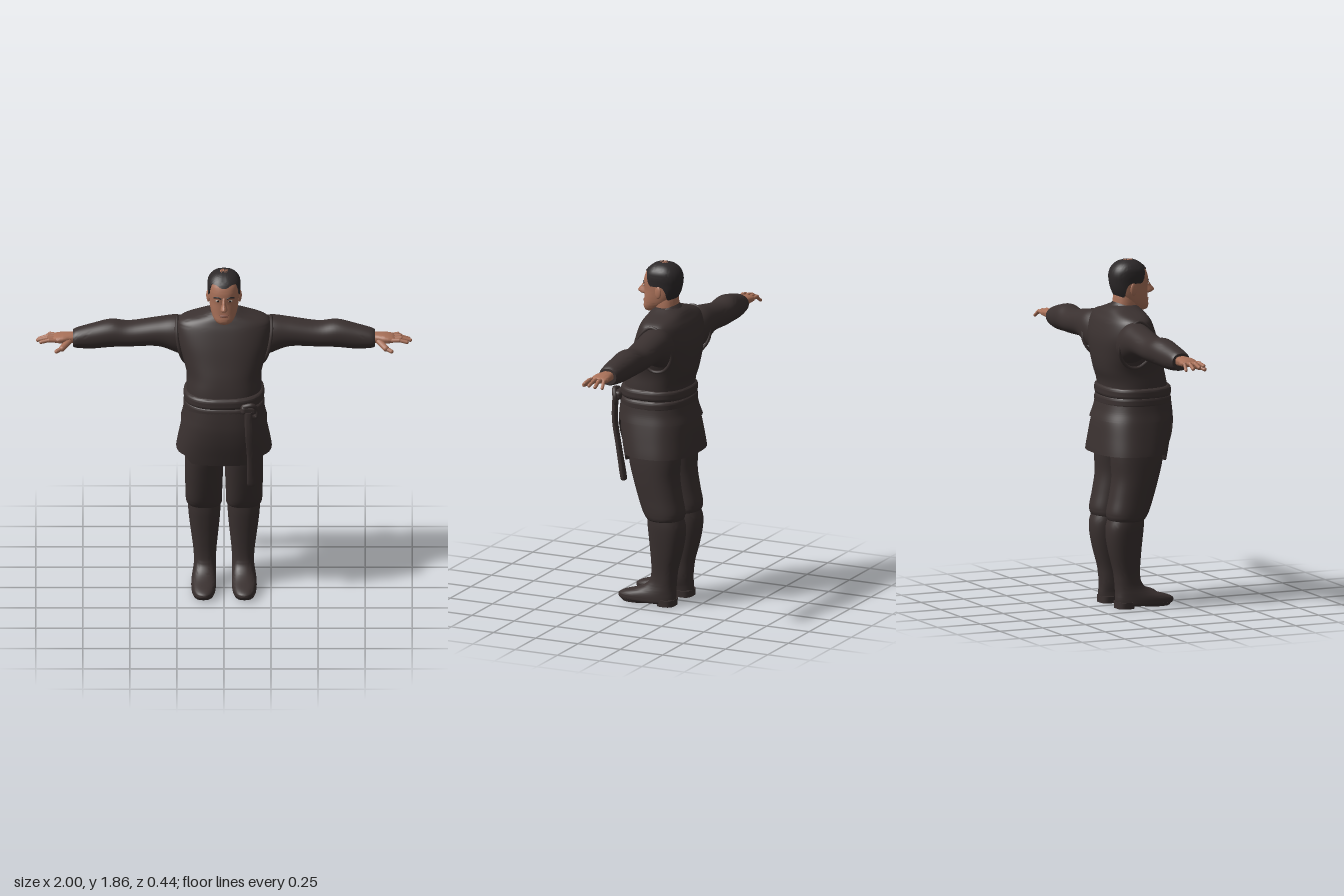
import * as THREE from 'three';
import { toCreasedNormals } from 'three/addons/utils/BufferGeometryUtils.js';
import { RoundedBoxGeometry } from 'three/addons/geometries/RoundedBoxGeometry.js';

const mat = (name, color) => Object.assign(new THREE.MeshStandardMaterial({ color }), { name });
const cloth = mat('darkCloth', 0x3a3130);
const skin = mat('skin', 0xa97159);
const hair = mat('hair', 0x2c2829);
const lip = mat('lips', 0x8c5848);
const eyeWhite = mat('eyeWhite', 0xb5a79c);
const iris = mat('iris', 0x2a1f1a);

const mesh = (name, geometry, material) => {
  const m = new THREE.Mesh(geometry, material);
  m.name = name;
  return m;
};

// Smooth interpolation through table rows, t in 0..1
const spline = (rows, t) => {
  const last = rows.length - 1;
  const i = Math.min(Math.floor(t * last), last - 1), f = t * last - i;
  const p = [i - 1, i, i + 1, i + 2].map((k) => rows[Math.max(0, Math.min(last, k))]);
  return p[0].map((_, k) => {
    const [a, b, c, d] = p.map((r) => r[k]);
    return b + 0.5 * f * (c - a + f * (2 * a - 5 * b + 4 * c - d + f * (3 * (b - c) + d - a)));
  });
};

// Cross-section at a given height
const sectionAt = (rows, h) => {
  let lo = 0, hi = 1;
  for (let i = 0; i < 24; i++) {
    const mid = (lo + hi) / 2;
    if (spline(rows, mid)[0] < h) lo = mid; else hi = mid;
  }
  return spline(rows, lo);
};

// Closed surface: fn(angle, j) gives a point, j runs along the part
const grid = (nu, nv, fn) => {
  const pos = [], idx = [];
  for (let j = 0; j <= nv; j++) for (let i = 0; i < nu; i++) pos.push(...fn((i / nu) * Math.PI * 2, j));
  for (let j = 0; j < nv; j++) for (let i = 0; i < nu; i++) {
    const k = (i + 1) % nu, a = j * nu + i, b = j * nu + k, c = b + nu, d = a + nu;
    idx.push(a, b, c, a, c, d);
  }
  const g = new THREE.BufferGeometry();
  g.setAttribute('position', new THREE.Float32BufferAttribute(pos, 3));
  g.setIndex(idx);
  return toCreasedNormals(g, 0.9);
};

// Rounded ring point of a section [h, a0, a1, b0, b1]; scale 0 gives its centre
const ringPoint = ([h, a0, a1, b0, b1], th, n, axis, scale = 1, grow = 0) => {
  const pw = (v) => Math.sign(v) * Math.abs(v) ** (2 / n) * scale;
  const a = (a0 + a1) / 2 + pw(Math.cos(th)) * ((a1 - a0) / 2 + grow);
  const b = (b0 + b1) / 2 + pw(Math.sin(th)) * ((b1 - b0) / 2 + grow);
  return axis === 'x' ? [h, a, b] : [b, h, a];
};

// Capped loft. axis y rows: [y, zBack, zFront, x0, x1]; axis x rows: [x, y0, y1, z0, z1]
const loft = (rows, { axis = 'y', n = 2.3, nu = 40, sub = 5 } = {}) => {
  const nv = (rows.length - 1) * sub;
  return grid(nu, nv + 2, (th, j) => {
    const t = Math.max(0, Math.min(1, (j - 1) / nv));
    return ringPoint(spline(rows, t), th, n, axis, j === 0 || j === nv + 2 ? 0 : 1);
  });
};

// Layer over a form, from a shaped lower edge up to a top height
const layer = (rows, edge, top, grow, n, nu = 96, nv = 22) => grid(nu, nv + 2, (th, j) => {
  const low = edge(th), t = Math.max(0, Math.min(1, (j - 1) / nv));
  const p = ringPoint(sectionAt(rows, low + (top - low) * t), th, n, 'y', j === 0 || j === nv + 2 ? 0 : 1, grow);
  if (j === 0) p[1] += 0.03;
  return p;
});

const capsule = (name, a, b, r, material) => {
  const A = new THREE.Vector3(...a), B = new THREE.Vector3(...b), d = B.clone().sub(A);
  const m = mesh(name, new THREE.CapsuleGeometry(r, d.length(), 6, 12), material);
  m.position.copy(A).add(B).multiplyScalar(0.5);
  m.quaternion.setFromUnitVectors(new THREE.Vector3(0, 1, 0), d.normalize());
  return m;
};
const ball = (name, p, s, material) => {
  const m = mesh(name, new THREE.SphereGeometry(1, 20, 14), material);
  m.position.set(...p);
  m.scale.set(...s);
  return m;
};
const tube = (name, pts, r, material, closed = false) => mesh(name, new THREE.TubeGeometry(
  new THREE.CatmullRomCurve3(pts.map((p) => new THREE.Vector3(...p)), closed), 40, r, 8, closed), material);

const sym = (rows) => rows.map(([y, zb, zf, x]) => [y, zb, zf, -x, x]);
const ramp = THREE.MathUtils.smoothstep;

const HEAD = sym([
  [1.583, 0.03, 0.072, 0.018], [1.592, 0.0, 0.086, 0.04], [1.612, -0.03, 0.092, 0.056],
  [1.64, -0.07, 0.088, 0.069], [1.675, -0.095, 0.086, 0.076], [1.71, -0.11, 0.085, 0.079],
  [1.745, -0.118, 0.089, 0.081], [1.78, -0.12, 0.083, 0.083], [1.815, -0.108, 0.066, 0.078],
  [1.844, -0.08, 0.035, 0.055], [1.858, -0.045, 0.005, 0.022]]);

function buildHead() {
  const g = new THREE.Group();
  g.name = 'head';
  const faceZ = (x, y) => {
    const [, zb, zf, , rx] = sectionAt(HEAD, y);
    return (zb + zf) / 2 + ((zf - zb) / 2) * (1 - Math.abs(x / rx) ** 2.3) ** (1 / 2.3);
  };
  g.add(mesh('face', loft(HEAD), skin));
  g.add(mesh('neck', loft(sym([[1.54, -0.11, 0.03, 0.072], [1.6, -0.103, 0.025, 0.068],
    [1.65, -0.1, 0.03, 0.066], [1.69, -0.095, 0.03, 0.06]])), skin));
  // Short hair: low at the nape, receding at the temples
  const hairline = (th) => {
    const a = Math.abs(th > Math.PI ? 2 * Math.PI - th : th);
    return 1.797 + 0.016 * ramp(a, 0, 0.5) - 0.075 * ramp(a, 0.75, 1.3) - 0.075 * ramp(a, 1.75, 2.4);
  };
  g.add(mesh('hair', layer(HEAD, hairline, 1.858, 0.005, 2.3, 64, 16), hair));
  g.add(mesh('nose', loft(sym([[1.67, 0.06, 0.094, 0.01], [1.677, 0.06, 0.118, 0.018],
    [1.69, 0.06, 0.132, 0.017], [1.712, 0.06, 0.115, 0.011], [1.748, 0.06, 0.09, 0.009]]),
  { n: 2, nu: 20 }), skin));
  g.add(ball('upperLip', [0, 1.645, faceZ(0, 1.645)], [0.026, 0.005, 0.006], lip));
  g.add(ball('lowerLip', [0, 1.637, faceZ(0, 1.637)], [0.021, 0.005, 0.006], lip));
  for (const s of [-1, 1]) {
    const z = faceZ(0.032, 1.727);
    g.add(ball('eye', [s * 0.032, 1.727, z - 0.001], [0.013, 0.006, 0.005], eyeWhite));
    g.add(ball('iris', [s * 0.032, 1.727, z + 0.002], [0.006, 0.006, 0.004], iris));
    g.add(tube('eyebrow', [[0.014, 1.741], [0.034, 1.748], [0.054, 1.741]]
      .map(([x, y]) => [s * x, y, faceZ(x, y)]), 0.004, hair));
    const ear = ball('ear', [s * 0.084, 1.708, -0.025], [0.009, 0.034, 0.021], skin);
    ear.rotation.y = s * -0.3;
    g.add(ear);
  }
  return g;
}

// Tunic, belt and skirt layers
function buildTunic() {
  const g = new THREE.Group();
  g.name = 'tunic';
  g.add(mesh('torso', loft(sym([
    [1.08, -0.17, 0.185, 0.203], [1.2, -0.17, 0.172, 0.2], [1.28, -0.193, 0.155, 0.2],
    [1.36, -0.204, 0.13, 0.222], [1.45, -0.205, 0.1, 0.247], [1.53, -0.185, 0.068, 0.252],
    [1.57, -0.163, 0.048, 0.225], [1.602, -0.14, 0.03, 0.125], [1.62, -0.11, 0.01, 0.08]]),
  { n: 2.5, nu: 56 }), cloth));
  const collar = mesh('collar', loft(sym([[-0.03, -0.09, 0.092, 0.112], [-0.018, -0.092, 0.094, 0.114],
    [0.006, -0.084, 0.086, 0.1], [0.028, -0.077, 0.078, 0.084]]), { n: 2 }), cloth);
  collar.position.set(0, 1.583, -0.04);
  collar.rotation.x = 0.35;
  g.add(collar);

  const SKIRT = sym([[0.77, -0.225, 0.15, 0.258], [0.83, -0.224, 0.165, 0.254], [0.92, -0.213, 0.185, 0.238],
    [1.0, -0.2, 0.194, 0.222], [1.06, -0.18, 0.192, 0.208], [1.12, -0.165, 0.185, 0.2]]);
  const frontX = (th) => 0.23 * Math.sign(Math.sin(th)) * Math.abs(Math.sin(th)) ** 0.77;
  const lowerHem = (th) => (Math.cos(th) > 0 ? 0.79 + 0.04 * ramp(Math.abs(frontX(th)), 0.155, 0.19) : 0.83);
  const upperHem = (th) => (Math.cos(th) > 0 ? 0.86 + 0.15 * ramp(Math.abs(frontX(th)), 0.07, 0.155) : 1.01);
  g.add(mesh('lowerSkirt', layer(SKIRT, lowerHem, 1.12, 0, 2.5), cloth));
  g.add(mesh('upperSkirtWithApron', layer(SKIRT, upperHem, 1.12, 0.01, 2.5), cloth));

  for (const [y, tilt] of [[1.162, 0.015], [1.11, -0.015]]) {
    const rows = [[-0.03, 0], [-0.022, 0.012], [0, 0.016], [0.022, 0.012], [0.03, 0]]
      .map(([h, o]) => [h, -0.166 - o, 0.18 + o, 0.199 + o]);
    const band = mesh('beltWrap', loft(sym(rows), { n: 2.5, nu: 56 }), cloth);
    band.position.y = y;
    band.rotation.z = tilt;
    g.add(band);
  }
  const knot = mesh('beltKnot', new RoundedBoxGeometry(0.085, 0.05, 0.05, 4, 0.018), cloth);
  knot.position.set(0.13, 1.138, 0.185);
  knot.rotation.set(0, 0.2, -0.1);
  g.add(knot, tube('beltLoop', [[0.1, 1.16, 0.2], [0.15, 1.168, 0.2], [0.175, 1.13, 0.185],
    [0.165, 1.095, 0.185], [0.13, 1.105, 0.205]], 0.013, cloth));
  g.add(mesh('hangingBeltEnd', loft([
    [0.672, 0.137, 0.155, 0.135, 0.16], [0.69, 0.135, 0.163, 0.122, 0.167], [0.85, 0.165, 0.19, 0.122, 0.162],
    [1.0, 0.193, 0.217, 0.112, 0.156], [1.13, 0.188, 0.216, 0.108, 0.15]], { n: 3, nu: 20 }), cloth));
  return g;
}

// One arm and one leg on the left side
function buildSide(name) {
  const g = new THREE.Group();
  g.name = name;
  g.add(mesh('sleeve', loft([
    [0.17, 1.32, 1.54, -0.17, 0.0], [0.25, 1.352, 1.558, -0.182, 0.0], [0.35, 1.388, 1.543, -0.178, -0.013],
    [0.5, 1.385, 1.52, -0.175, -0.02], [0.6, 1.382, 1.531, -0.17, -0.02], [0.7, 1.376, 1.511, -0.152, -0.02],
    [0.78, 1.382, 1.49, -0.137, -0.022], [0.803, 1.39, 1.478, -0.13, -0.028]], { axis: 'x', n: 2.1 }), cloth));
  g.add(tube('armholeEdge', [[0.25, 1.562, -0.07], [0.252, 1.5, 0.005], [0.232, 1.39, 0.02],
    [0.207, 1.31, -0.05], [0.21, 1.32, -0.12], [0.23, 1.4, -0.175], [0.25, 1.5, -0.15]], 0.009, cloth, true));

  g.add(mesh('palm', loft([
    [0.78, 1.408, 1.464, -0.112, -0.046], [0.82, 1.414, 1.464, -0.115, -0.038], [0.86, 1.416, 1.462, -0.12, -0.025],
    [0.895, 1.42, 1.455, -0.12, -0.026], [0.908, 1.426, 1.448, -0.112, -0.034]],
  { axis: 'x', n: 2.6, nu: 24 }), skin));
  [[-0.109, 0.958, -0.122, 1.415], [-0.085, 0.982, -0.092, 1.424],
    [-0.061, 0.99, -0.06, 1.43], [-0.037, 0.972, -0.026, 1.434]].forEach(([z, x, tipZ, tipY], i) => {
    const mid = [(0.89 + x) / 2, 1.442, (z + tipZ) / 2], r = i ? 0.0115 : 0.01;
    g.add(capsule('fingerBase', [0.885, 1.438, z], mid, r, skin));
    g.add(capsule('fingerTip', mid, [x, tipY, tipZ], r * 0.86, skin));
  });
  g.add(capsule('thumbBase', [0.825, 1.428, -0.045], [0.86, 1.41, 0.0], 0.017, skin));
  g.add(capsule('thumbTip', [0.86, 1.41, 0.0], [0.89, 1.4, 0.018], 0.011, skin));

  g.add(mesh('trouserLeg', loft([
    [0.47, -0.165, 0.008, 0.018, 0.186], [0.482, -0.18, 0.02, 0.01, 0.2], [0.52, -0.186, 0.042, 0.01, 0.205],
    [0.6, -0.17, 0.07, 0.008, 0.206], [0.7, -0.155, 0.1, 0.004, 0.208], [0.8, -0.16, 0.125, 0.0, 0.207],
    [0.9, -0.16, 0.13, -0.005, 0.2]]), cloth));
  g.add(mesh('boot', loft([
    [0.012, -0.13, 0.172, 0.05, 0.165], [0.02, -0.138, 0.186, 0.044, 0.173], [0.04, -0.14, 0.19, 0.042, 0.174],
    [0.058, -0.14, 0.16, 0.042, 0.172], [0.08, -0.138, 0.085, 0.042, 0.167], [0.105, -0.138, 0.035, 0.042, 0.162],
    [0.14, -0.14, 0.004, 0.042, 0.16], [0.2, -0.148, -0.004, 0.04, 0.163], [0.3, -0.174, 0.001, 0.03, 0.176],
    [0.38, -0.188, 0.008, 0.022, 0.186], [0.44, -0.188, 0.013, 0.019, 0.191], [0.49, -0.172, 0.014, 0.02, 0.19]],
  { n: 2.4 }), cloth));
  g.add(mesh('bootHeel', loft([[0, -0.14, -0.045, 0.05, 0.165], [0.035, -0.14, -0.035, 0.046, 0.168]],
    { n: 3, nu: 28 }), cloth));
  g.add(mesh('bootSole', loft([[0.004, 0.015, 0.165, 0.056, 0.162], [0.022, -0.03, 0.184, 0.047, 0.171]],
    { nu: 28 }), cloth));
  return g;
}

export function createModel() {
  const model = new THREE.Group();
  model.name = 'standingMan';
  const right = buildSide('rightLimbs');
  right.scale.x = -1;
  model.add(buildHead(), buildTunic(), buildSide('leftLimbs'), right);
  return model;
}
